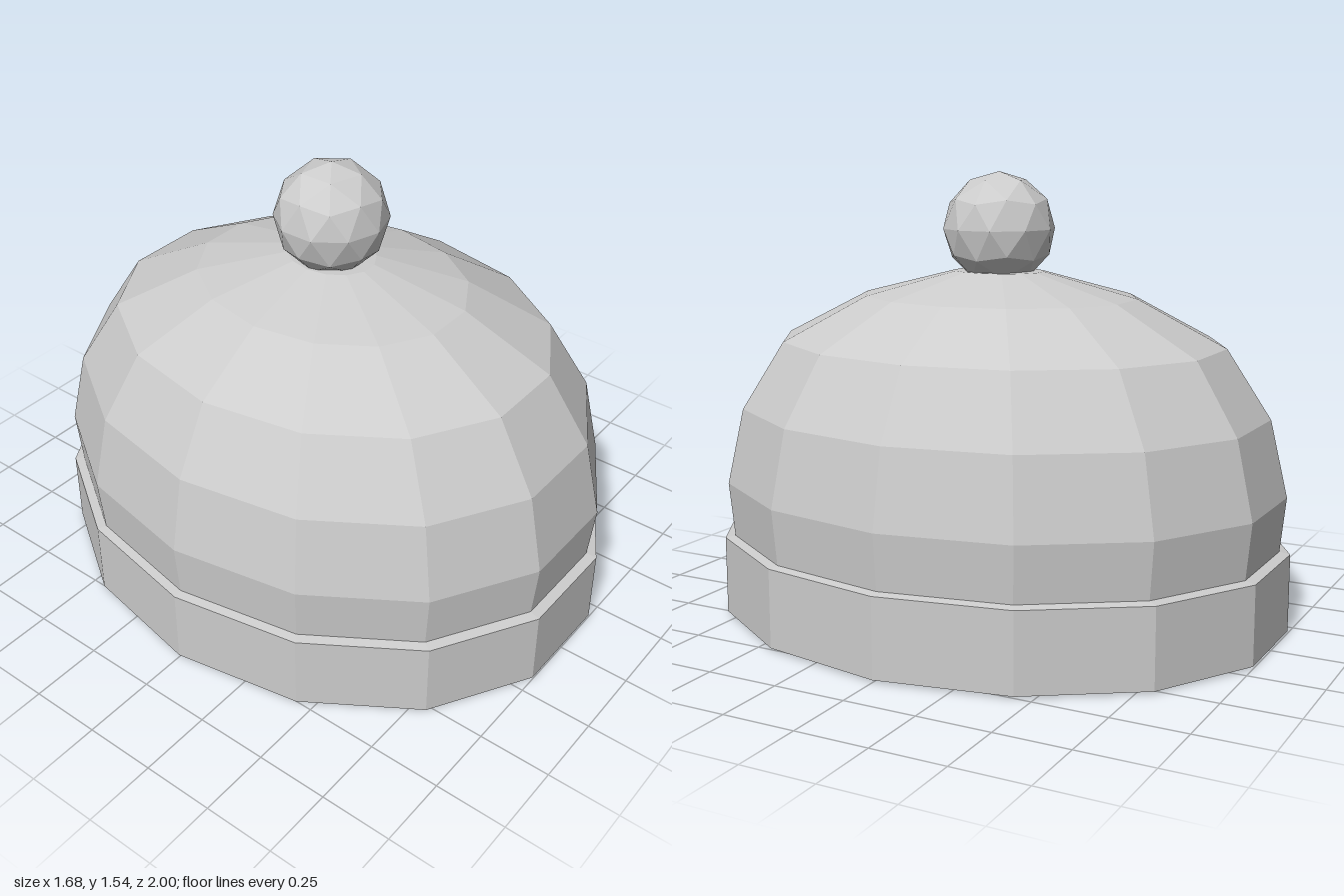
import * as THREE from 'three';

const SIDES = 14;
const X_SQUASH = 0.819; // oval head opening: narrower across than front to back

export function createModel() {
  const hat = new THREE.Group();
  hat.name = 'bobbleHat';
  const knit = new THREE.MeshStandardMaterial({ color: 0xcccccc, flatShading: true });
  knit.name = 'greyKnit';

  const add = (name, geometry) => {
    const mesh = new THREE.Mesh(geometry, knit);
    mesh.name = name;
    hat.add(mesh);
    return mesh;
  };

  // Faceted oval shell, with a corner on the x axis
  const ovalLathe = (profile) => {
    const points = profile.map(([r, y]) => new THREE.Vector2(r, y));
    return new THREE.LatheGeometry(points, SIDES, Math.PI / 2).scale(X_SQUASH, 1, 1);
  };

  // Crown: outer skin up from the cuff step, and inner skin down to the inner step
  add('crownOutside', ovalLathe([
    [0.989, 0.283], [1.008, 0.47], [0.947, 0.73], [0.795, 0.96], [0.49, 1.115], [0.16, 1.199], [0, 1.202],
  ]));
  add('crownInside', ovalLathe([
    [0, 1.128], [0.145, 1.126], [0.46, 1.045], [0.742, 0.905], [0.877, 0.705], [0.932, 0.463], [0.908, 0.222],
  ]));

  // Turned-up cuff: inner step, inner wall, sloping bottom rim, outer wall, outer step
  add('cuff', ovalLathe([
    [0.908, 0.222], [0.948, 0.215], [0.948, 0], [1.0257, 0.008], [1.0257, 0.276], [0.989, 0.283],
  ]));

  // Pompom: icosphere turned so one corner points straight up
  const ball = new THREE.IcosahedronGeometry(0.193, 1);
  ball.rotateZ(-Math.atan(2 / (1 + Math.sqrt(5))));
  add('pompom', ball).position.y = 1.343;

  return hat;
}
